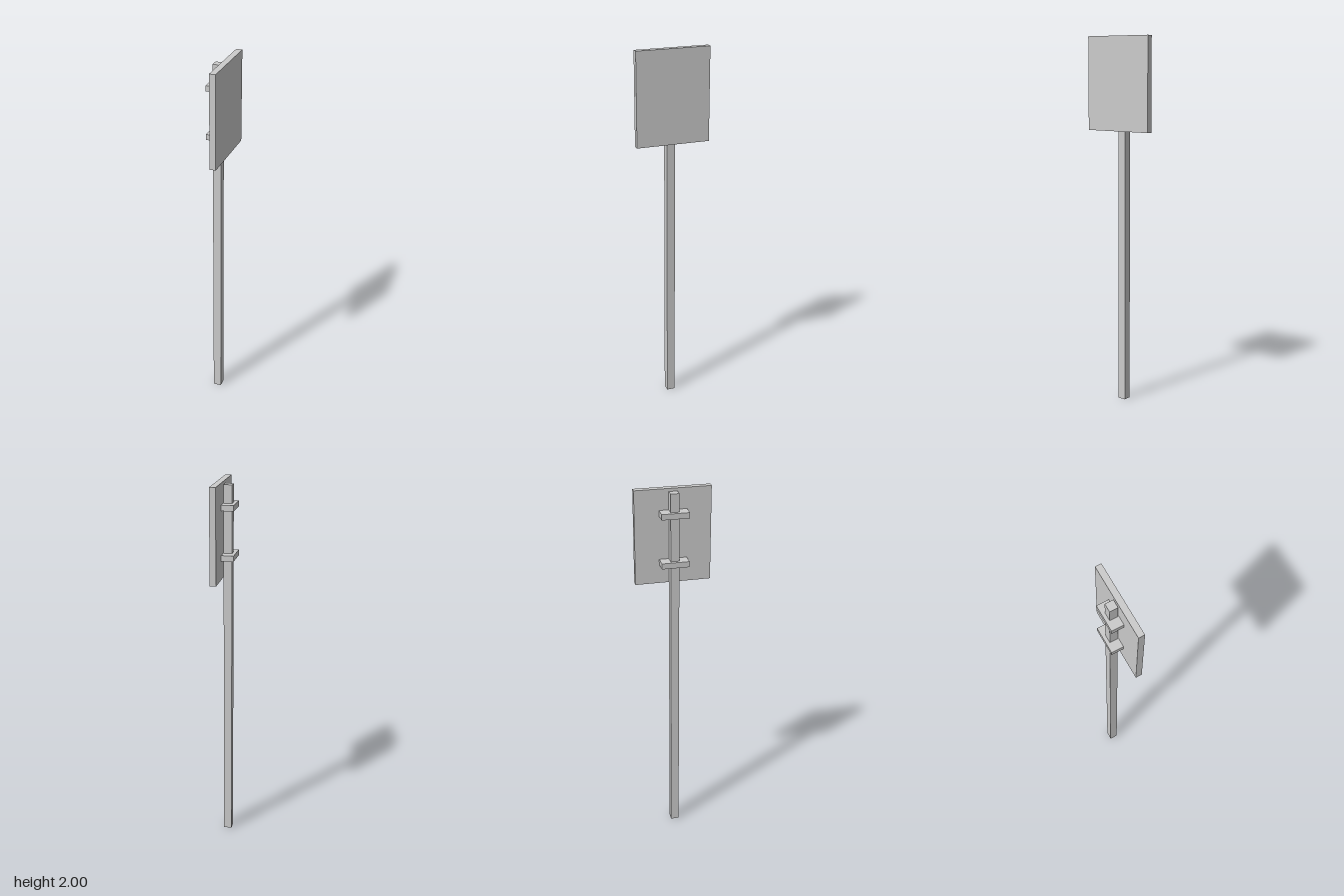
import * as THREE from 'three';

export function createModel() {
  const group = new THREE.Group();
  const material = new THREE.MeshStandardMaterial({ color: 0xcccccc, flatShading: true });

  // Box given by its x and y extents and its depth, centred on z = 0
  function addBox(name, x0, x1, y0, y1, depth) {
    const mesh = new THREE.Mesh(new THREE.BoxGeometry(x1 - x0, y1 - y0, depth), material);
    mesh.position.set((x0 + x1) / 2, (y0 + y1) / 2, 0);
    mesh.name = name;
    group.add(mesh);
  }

  // Square post
  addBox('post', -0.031, 0.013, 0, 1.985, 0.045);

  // Sign board facing +x
  addBox('signBoard', 0.016, 0.049, 1.5, 2, 0.398);

  // Clamps holding the board to the post
  addBox('lowerClamp', -0.049, 0.016, 1.6, 1.63, 0.145);
  addBox('upperClamp', -0.049, 0.016, 1.86, 1.89, 0.145);

  return group;
}
